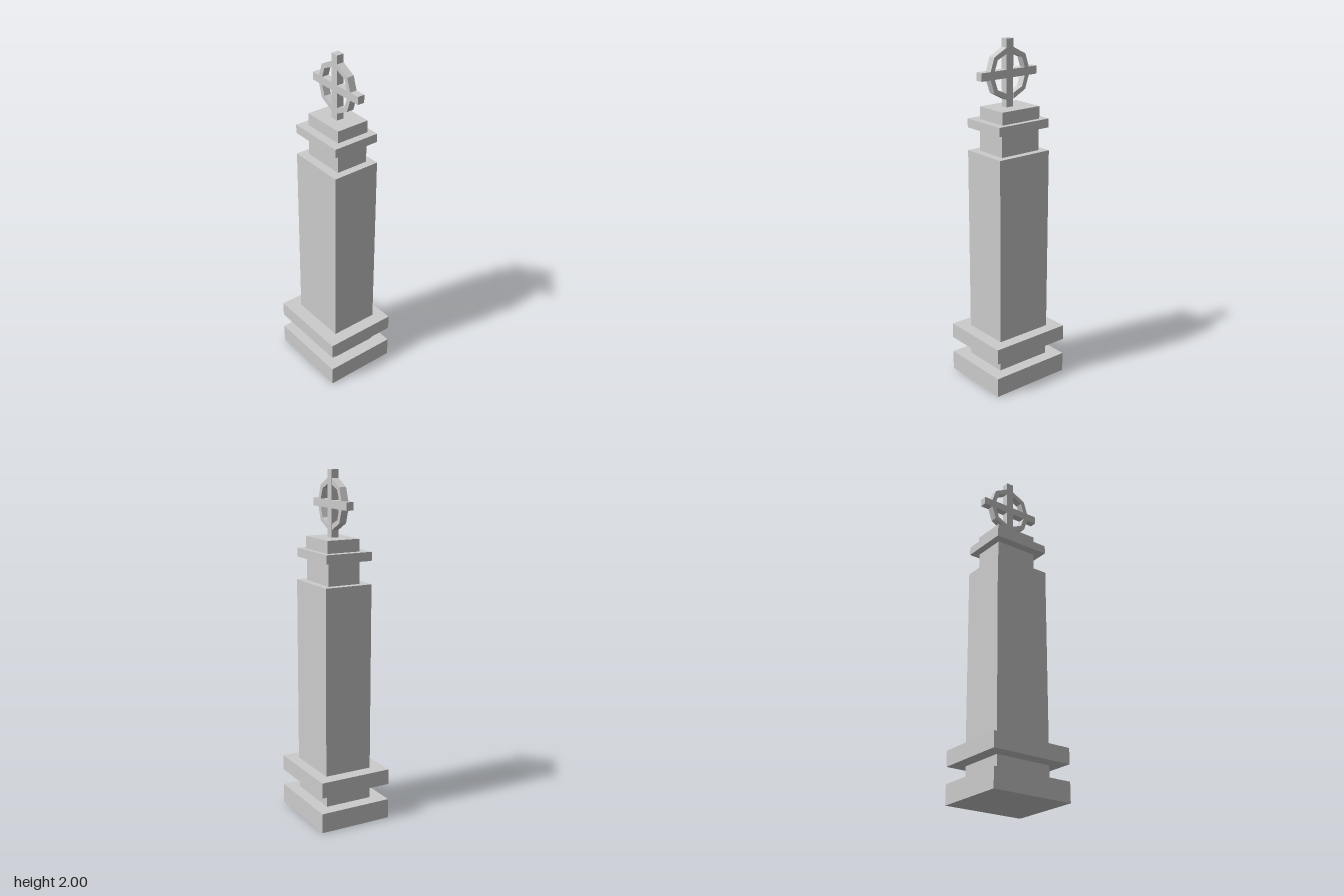
import * as THREE from 'three';

export function createModel() {
  const model = new THREE.Group();
  const stone = new THREE.MeshStandardMaterial({ color: 0xcccccc, flatShading: true });

  // Box given by its extents on each axis
  function block(name, [x0, x1], [y0, y1], [z0, z1], parent = model) {
    const mesh = new THREE.Mesh(new THREE.BoxGeometry(x1 - x0, y1 - y0, z1 - z0), stone);
    mesh.position.set((x0 + x1) / 2, (y0 + y1) / 2, (z0 + z1) / 2);
    mesh.name = name;
    parent.add(mesh);
  }

  // Stepped pedestal
  block('basePlinth', [-0.25, 0.247], [0, 0.115], [-0.217, 0.217]);
  block('plinthNeck', [-0.173, 0.173], [0.115, 0.21], [-0.146, 0.136]);
  block('upperPlinth', [-0.25, 0.247], [0.21, 0.3], [-0.217, 0.217]);

  // Shaft and stepped capital
  block('shaft', [-0.173, 0.173], [0.3, 1.38], [-0.15, 0.136]);
  block('capitalNeck', [-0.13, 0.128], [1.38, 1.51], [-0.11, 0.084]);
  block('capitalCollar', [-0.173, 0.173], [1.51, 1.56], [-0.145, 0.136]);
  block('capitalTop', [-0.13, 0.128], [1.56, 1.63], [-0.115, 0.084]);

  // Wheel cross on top: two bars and four faceted ring quarters
  const cross = new THREE.Group();
  cross.name = 'wheelCross';
  model.add(cross);
  const depth = [-0.028, 0.014];
  block('crossUpright', [-0.016, 0.03], [1.63, 2], depth, cross);
  for (const [name, span] of [['crossArmRight', [-0.18, -0.016]], ['crossArmLeft', [0.03, 0.2]]])
    block(name, span, [1.79, 1.835], depth, cross);

  const quarter = [
    [0.132, 0.022], [0.107, 0.097], [0.023, 0.141],
    [0.023, 0.108], [0.084, 0.08], [0.104, 0.022],
  ];
  for (const sx of [1, -1]) for (const sy of [1, -1]) {
    const shape = new THREE.Shape(quarter.map(([x, y]) => new THREE.Vector2(x * sx, y * sy)));
    const geometry = new THREE.ExtrudeGeometry(shape, { depth: depth[1] - depth[0], bevelEnabled: false });
    const mesh = new THREE.Mesh(geometry, stone);
    mesh.position.set(0.006, 1.812, depth[0]);
    mesh.name = `ring${sy > 0 ? 'Upper' : 'Lower'}${sx > 0 ? 'Left' : 'Right'}`;
    cross.add(mesh);
  }

  return model;
}
